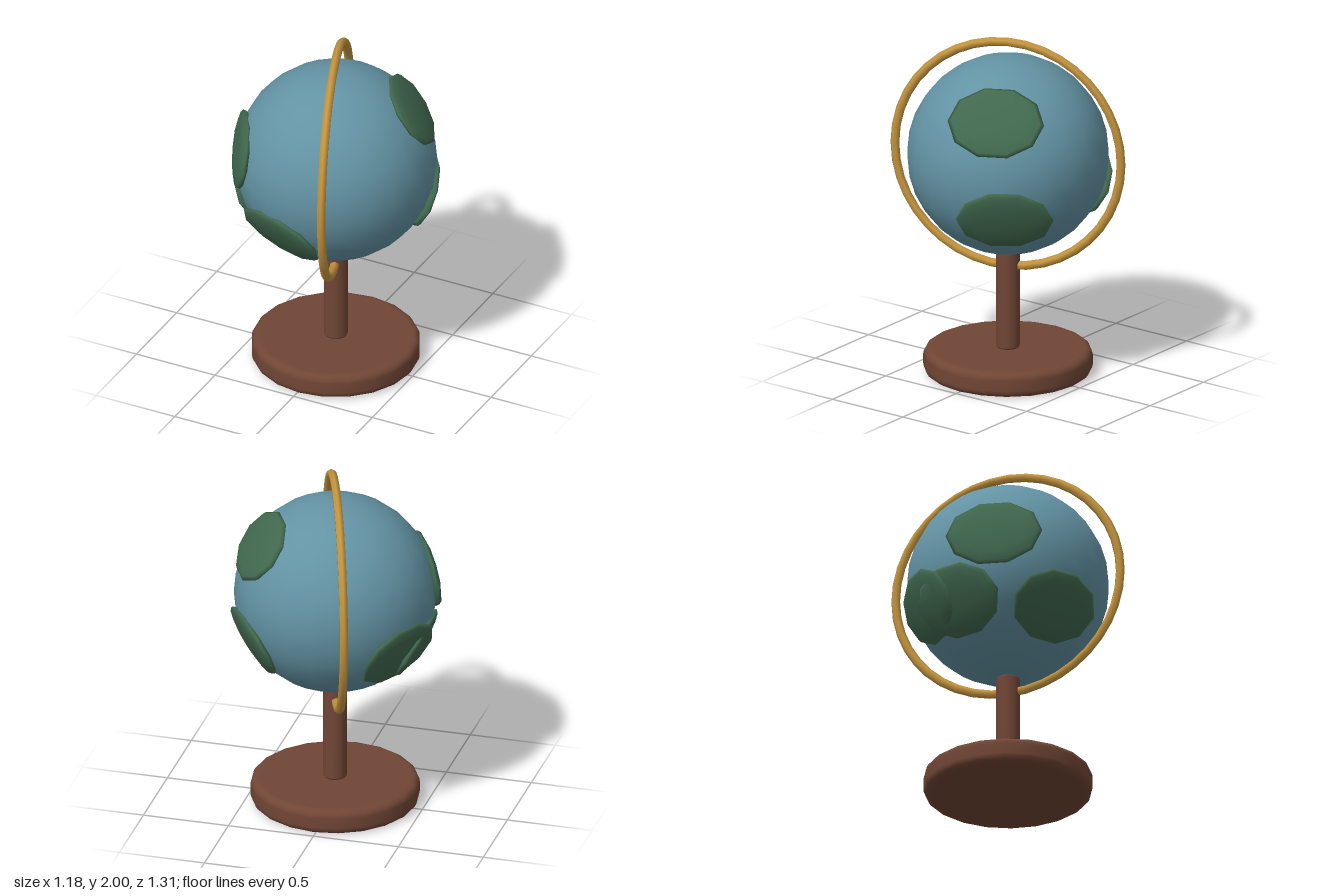
import * as THREE from 'three';

const material = (name, color) => {
  const m = new THREE.MeshStandardMaterial({ color });
  m.name = name;
  return m;
};

const CENTRE_Y = 1.305;

// Solid disc or post with rounded rims, turned around y
function roundedDisc(radius, bottom, top, bevel, sides) {
  const pts = [new THREE.Vector2(0, bottom), new THREE.Vector2(radius - bevel * 1.2, bottom)];
  const steps = 4;
  for (let i = 0; i <= steps; i++) {
    const a = -Math.PI / 2 + (i / steps) * (Math.PI / 2);
    pts.push(new THREE.Vector2(radius - bevel + Math.cos(a) * bevel, bottom + bevel + Math.sin(a) * bevel));
  }
  for (let i = 0; i <= steps; i++) {
    const a = (i / steps) * (Math.PI / 2);
    pts.push(new THREE.Vector2(radius - bevel + Math.cos(a) * bevel, top - bevel + Math.sin(a) * bevel));
  }
  pts.push(new THREE.Vector2(radius - bevel * 1.2, top), new THREE.Vector2(0, top));
  return new THREE.LatheGeometry(pts, sides);
}

export function createModel() {
  const wood = material('brown wood', 0x714635);
  const sea = material('sea blue', 0x6393a4);
  const land = material('land green', 0x41694f);
  const brass = material('brass', 0xc6963f);

  const model = new THREE.Group();
  model.name = 'deskGlobe';
  const add = (name, geometry, mat, y = 0) => {
    const mesh = new THREE.Mesh(geometry, mat);
    mesh.name = name;
    mesh.position.y = y;
    model.add(mesh);
    return mesh;
  };

  // Stand
  add('base', roundedDisc(0.48, 0, 0.145, 0.042, 20), wood);
  add('post', roundedDisc(0.068, 0.145, 0.728, 0.014, 16), wood);

  // Ball
  add('ball', new THREE.SphereGeometry(0.574, 24, 16), sea, CENTRE_Y);

  // Upright ring, turned about y
  const ring = add('meridianRing', new THREE.TorusGeometry(0.67, 0.026, 6, 40), brass, CENTRE_Y);
  ring.rotation.y = THREE.MathUtils.degToRad(-70);

  // Land masses: flattened pebbles set into the ball, each facing outward
  const pebble = new THREE.SphereGeometry(1, 10, 8);
  pebble.rotateX(Math.PI / 2);
  pebble.scale(0.277, 0.215, 0.043);
  const directions = [
    [-0.857, 0.157, 0.49],
    [-0.237, -0.546, 0.8],
    [-0.87, -0.49, 0.03],
    [-0.81, -0.41, -0.43],
    [0.7, 0.61, -0.37],
    [0.745, -0.42, -0.52],
  ];
  directions.forEach((d, i) => {
    const n = new THREE.Vector3(...d).normalize();
    const patch = add(`landMass${i + 1}`, pebble, land);
    patch.lookAt(n);
    patch.position.copy(n).multiplyScalar(0.541);
    patch.position.y += CENTRE_Y;
  });

  model.position.x = 0.013;
  return model;
}
